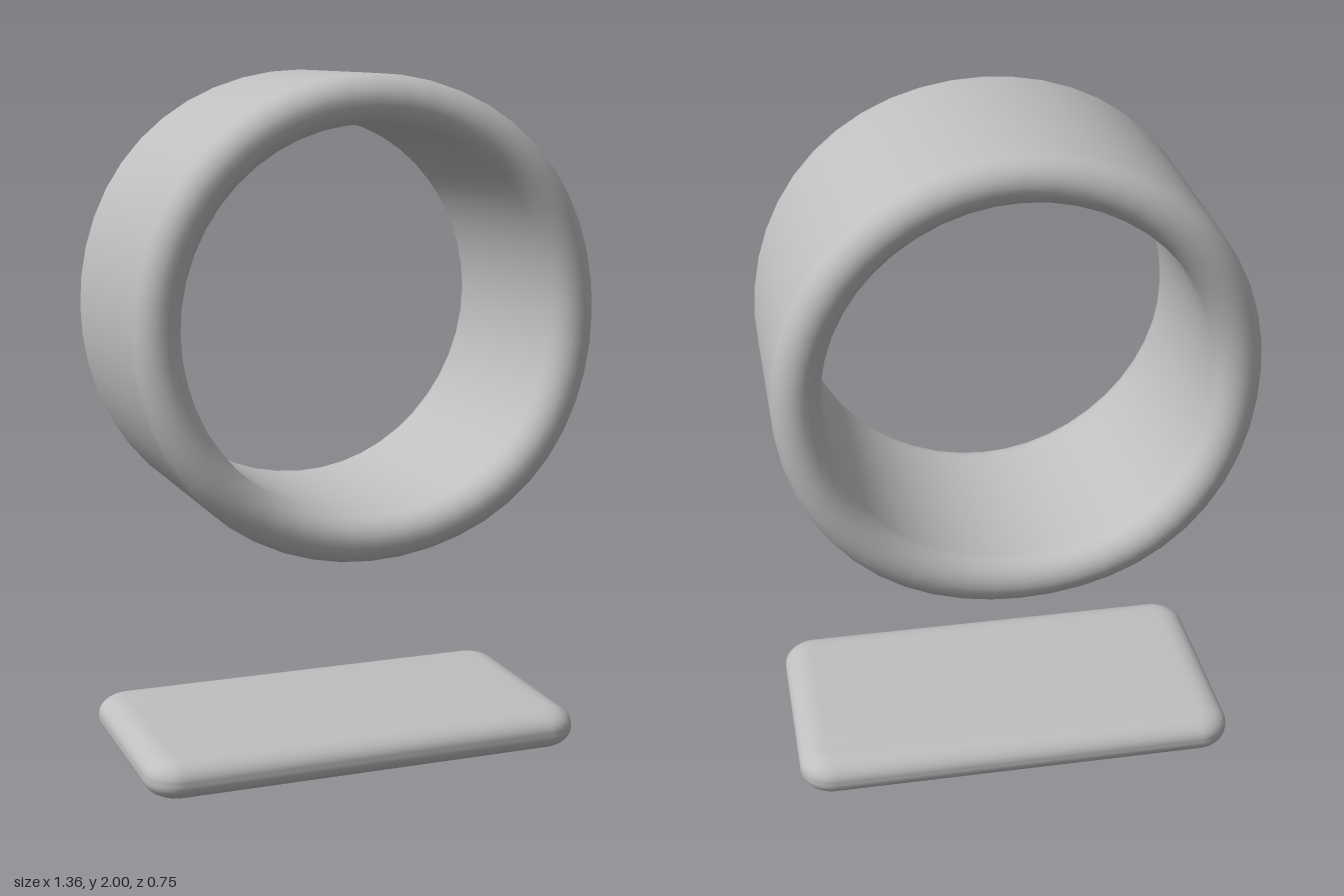
import * as THREE from 'three';
import { mergeVertices, toCreasedNormals } from 'three/addons/utils/BufferGeometryUtils.js';

const grey = new THREE.MeshStandardMaterial({ color: 0xbfbfbf });
grey.name = 'plain grey';

// Thick band: closed rounded profile spun around an axis, softly uneven every quarter turn
function bandGeometry(inner, outer, halfWidth, round) {
  const mid = (inner + outer) / 2, half = (outer - inner) / 2, steps = 12;
  const profile = [];
  for (const side of [1, -1]) {
    for (let i = 0; i <= steps; i++) {
      const a = (i / steps) * Math.PI;
      profile.push(new THREE.Vector2(
        mid + side * half * Math.cos(a),
        side * (halfWidth - round + round * Math.sin(a))));
    }
  }
  profile.push(profile[0].clone());
  let geo = new THREE.LatheGeometry(profile, 48);
  const p = geo.attributes.position;
  for (let i = 0; i < p.count; i++) {
    const wave = Math.cos(4 * Math.atan2(p.getZ(i), p.getX(i)));
    const swell = 1 - 0.004 * wave;
    p.setXYZ(i, p.getX(i) * swell, p.getY(i) * (1 - 0.02 * wave), p.getZ(i) * swell);
  }
  geo.deleteAttribute('uv');
  geo.deleteAttribute('normal');
  geo = mergeVertices(geo, 1e-4);
  geo.computeVertexNormals();
  return geo.rotateX(Math.PI / 2);
}

// Flat slab: rounded rectangle with an elliptical edge all round
function slabGeometry(halfX, halfZ, height) {
  const edge = 0.08, corner = 0.02, x = halfX - edge, z = halfZ - edge;
  const shape = new THREE.Shape();
  shape.absarc(x - corner, z - corner, corner, 0, Math.PI / 2);
  shape.absarc(-x + corner, z - corner, corner, Math.PI / 2, Math.PI);
  shape.absarc(-x + corner, -z + corner, corner, Math.PI, Math.PI * 1.5);
  shape.absarc(x - corner, -z + corner, corner, Math.PI * 1.5, Math.PI * 2);
  const depth = 0.01;
  const geo = new THREE.ExtrudeGeometry(shape, {
    depth, bevelEnabled: true, bevelSize: edge,
    bevelThickness: (height - depth) / 2, bevelSegments: 8, curveSegments: 6,
  });
  geo.center().rotateX(-Math.PI / 2);
  return toCreasedNormals(geo, 0.9);
}

export function createModel() {
  const group = new THREE.Group();

  const band = new THREE.Mesh(bandGeometry(0.548, 0.685, 0.368, 0.075), grey);
  band.name = 'ringBand';
  band.position.y = 1.316;
  group.add(band);

  const slab = new THREE.Mesh(slabGeometry(0.663, 0.356, 0.12), grey);
  slab.name = 'basePlate';
  slab.position.y = 0.06;
  group.add(slab);

  return group;
}
